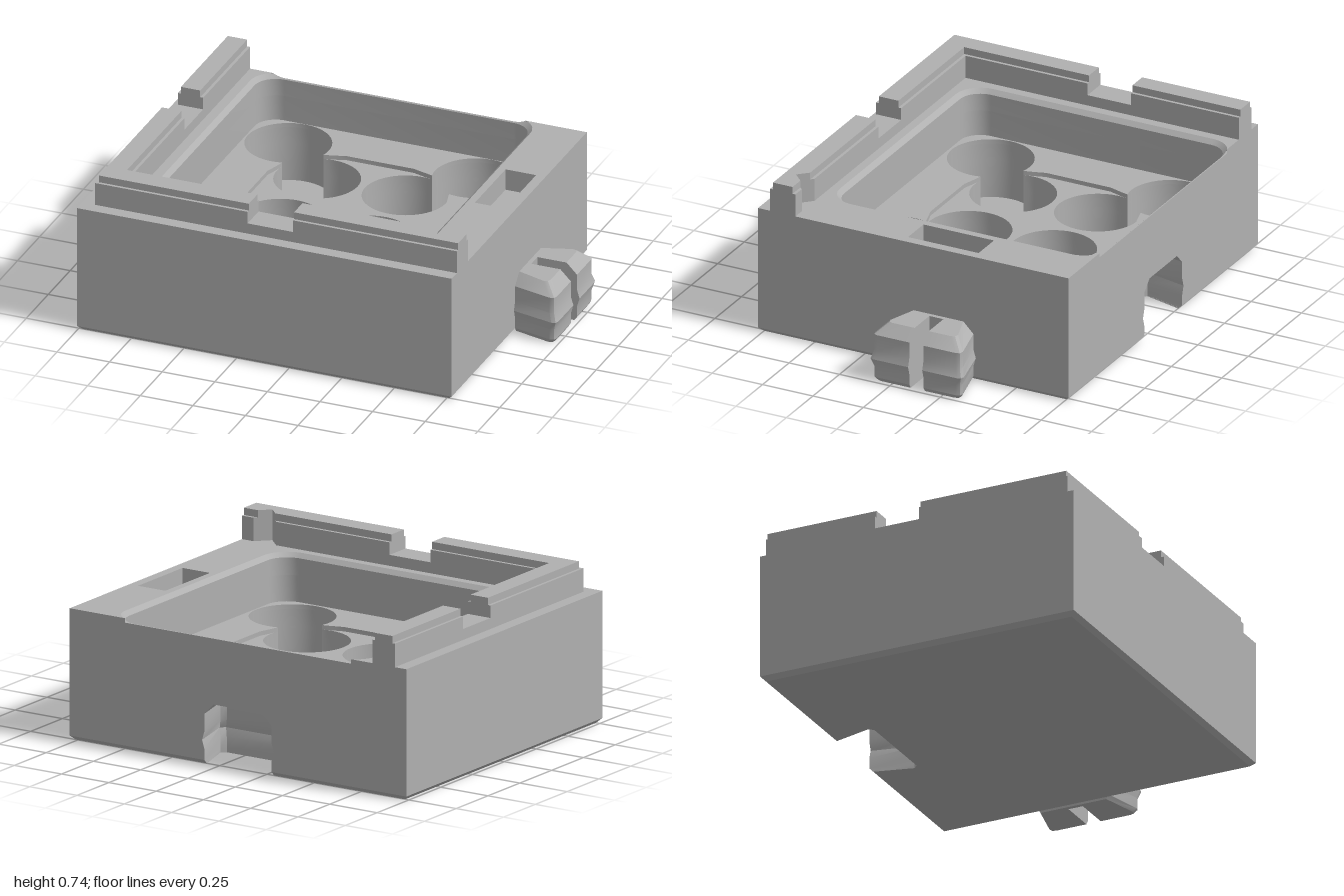
import * as THREE from 'three';
import { toCreasedNormals } from 'three/addons/utils/BufferGeometryUtils.js';

const CX = -0.11, CZ = -0.125; // centre of the tray cavity

// Loops are lists of [x, z], counter-clockwise seen from above.
const path = (C, loop) => new C(loop.map(([x, z]) => new THREE.Vector2(x, -z)));

// Horizontal slab between two heights, with optional holes.
function slab(loop, holes, y0, y1) {
  const shape = path(THREE.Shape, loop);
  shape.holes = holes.map(h => path(THREE.Path, h));
  const g = new THREE.ExtrudeGeometry(shape, { depth: y1 - y0, bevelEnabled: false });
  g.rotateX(-Math.PI / 2).translate(0, y0, 0);
  return toCreasedNormals(g, 0.5);
}

// Wall through rings of [x, y, z]; rising rings face outward, falling rings inward.
function wall(rings) {
  const pos = [];
  for (let k = 0; k + 1 < rings.length; k++) {
    const lo = rings[k], hi = rings[k + 1], n = lo.length;
    for (let i = 0; i < n; i++) {
      const j = (i + 1) % n;
      pos.push(...lo[i], ...lo[j], ...hi[j], ...lo[i], ...hi[j], ...hi[i]);
    }
  }
  const g = new THREE.BufferGeometry();
  g.setAttribute('position', new THREE.Float32BufferAttribute(pos, 3));
  return toCreasedNormals(g, 0.5);
}
const lift = (loop, y) => loop.map(([x, z]) => [x, y, z]);

const rect = (x0, x1, z0, z1) => [[x0, z1], [x1, z1], [x1, z0], [x0, z0]];

// Arc points, angles counter-clockwise seen from above.
function arc(x, z, r, a0, a1, n) {
  return Array.from({ length: n + 1 }, (_, i) => {
    const a = a0 + (a1 - a0) * i / n;
    return [x + r * Math.cos(a), z - r * Math.sin(a)];
  });
}

// Rounded square round the cavity centre, starting at the +x, back corner.
function roundedSquare(half, r) {
  const out = [];
  for (let q = 0; q < 4; q++) {
    const a = Math.PI / 4 + q * Math.PI / 2, d = (half - r) * Math.SQRT2;
    out.push(...arc(CX + d * Math.cos(a), -0.12 - d * Math.sin(a), r, a - Math.PI / 4, a + Math.PI / 4, 10));
  }
  return out;
}

export function createModel() {
  const model = new THREE.Group();
  const grey = new THREE.MeshStandardMaterial({ color: 0xb0b0b0 });
  const add = (name, geo) => {
    const m = new THREE.Mesh(geo, grey);
    m.name = name;
    model.add(m);
  };
  const block = rect(-1, 0.78, -0.77, 0.77);

  // Base with bevelled foot and a dovetail socket in the back
  const baseLoop = (c, s) => {
    const zb = -0.77 + c, h0 = 0.19 - s, h1 = 0.238 - s, zi = -0.54 - s;
    return [[-1 + c, 0.77 - c], [0.78 - c, 0.77 - c], [0.78 - c, zb],
      [CX + h0, zb], [CX + h1, zi - 0.02], [CX + h1 - 0.02, zi],
      [CX - h1 + 0.02, zi], [CX - h1, zi - 0.02], [CX - h0, zb], [-1 + c, zb]];
  };
  const baseLevels = [[0, 0.02, 0.012], [0.02, 0, 0.012], [0.07, 0, 0.012], [0.11, 0, 0],
    [0.15, 0, 0.012], [0.23, 0, 0.012], [0.28, 0, 0.062]];
  add('base', wall(baseLevels.map(([y, c, s]) => lift(baseLoop(c, s), y))));
  add('baseBottom', slab(baseLoop(0.02, 0.012), [], 0, 0.004));

  // Paired round wells and the shallow recess joining them
  const R = 0.193, A = 0.445, B = 0.21;
  const half = Math.acos((A - B) * Math.SQRT1_2 / R);
  const wells = [], recess = [];
  for (let q = 0; q < 4; q++) {
    const f = Math.PI / 4 + q * Math.PI / 2;
    const c = Math.cos(f) * Math.SQRT2, s = Math.sin(f) * Math.SQRT2;
    const outer = arc(CX + A * c, CZ - A * s, R, f - Math.PI + half, f + Math.PI - half, 40);
    const inner = arc(CX + B * c, CZ - B * s, R, f + half, f + 2 * Math.PI - half, 40);
    wells.push([...outer, ...inner.slice(1, -1)]);
    recess.push(...outer);
    // straight side towards the next corner
    const m = f + Math.PI / 4;
    for (const [along, out] of [[0.215, 0.408], [0.16, 0.425], [-0.16, 0.425], [-0.215, 0.408]]) {
      recess.push([CX + out * Math.cos(m) + along * Math.sin(m),
        CZ - out * Math.sin(m) + along * Math.cos(m)]);
    }
  }
  wells.forEach(w => {
    add('wellWall', wall([lift(w, 0.28), lift(w, 0.1)]));
    add('wellFloor', slab(w, [], 0.095, 0.1));
  });
  add('wellDeck', slab(block, wells, 0.28, 0.36));
  add('recessDeck', slab(block, [recess], 0.36, 0.38));

  // Tray cavity, side pocket and bevelled rim that runs out through the back
  const cavity = roundedSquare(0.645, 0.1), rim = roundedSquare(0.665, 0.12);
  const pocket = rect(0.59, 0.735, -0.3, 0.05);
  add('trayWall', slab(block, [cavity], 0.38, 0.5));
  add('trayWallUpper', slab(block, [cavity, pocket], 0.5, 0.58));
  const rimTop = rim.map(([x, z], i) => {
    const [xi, zi] = cavity[i];
    const t = z < -0.77 ? (zi + 0.77) / (zi - z) : 1;
    return [xi + (x - xi) * t, 0.58 + 0.02 * t, zi + (z - zi) * t];
  });
  add('trayBevel', wall([rimTop, lift(cavity, 0.58)]));
  // the open rim edge, walked from the back left over the front to the back right
  const firstOut = rim.findIndex(p => p[1] < -0.77);
  const lastOut = rim.length - 1 - [...rim].reverse().findIndex(p => p[1] < -0.77);
  const edge = [...rim.slice(lastOut + 1), ...rim.slice(0, firstOut)].reverse();
  const xr = rimTop[firstOut][0], xl = rimTop[lastOut][0];
  add('topFace', slab([[-1, 0.77], [0.78, 0.77], [0.78, -0.77], [xr, -0.77],
    ...edge, [xl, -0.77], [-1, -0.77]], [pocket], 0.58, 0.6));

  // Stepped guide rail along the left and front edges, with two gaps
  const railPieces = i => {
    const xa = -0.94 + i, xb = -0.82 - i, za = 0.71 - i, zb = 0.585 + i;
    const vee = [[0.72 - i, zb], [0.66, 0.645], [0.6 + i, zb]];
    return {
      full: [[xa, za], [0.78, za], [0.78, zb], ...vee, [xb, zb], [xb, -0.77], [xa, -0.77]],
      parts: [
        rect(xa, xb, -0.77, -0.235),
        [[xa, za], [-0.215, za], [-0.215, zb], [xb, zb], [xb, -0.02], [xa, -0.02]],
        [[0, za], [0.78, za], [0.78, zb], ...vee, [0, zb]],
      ],
    };
  };
  add('railFoot', slab(railPieces(0).full, [], 0.6, 0.65));
  railPieces(0).parts.forEach(p => add('rail', slab(p, [], 0.65, 0.707)));
  railPieces(0.014).parts.forEach(p => add('railTop', slab(p, [], 0.707, 0.74)));

  // Split dovetail clip on the side
  const clipLoop = (i, side) => {
    const x1 = 1 - i, h0 = 0.185 - i, h1 = 0.232 - i;
    const loop = [[0.78, 0], [0.78, h0], [x1 - 0.025, h1 - 0.003], [x1 - 0.006, h1 - 0.008],
      [x1, h1 - 0.025], [x1, 0.035], [0.8, 0.035], [0.8, 0]]
      .map(([x, t]) => [x, CZ + side * t]);
    return side > 0 ? loop : loop.reverse();
  };
  const clipLevels = [[0, 0.025], [0.02, 0.012], [0.07, 0.012], [0.11, 0],
    [0.15, 0.012], [0.225, 0.012], [0.275, 0.062]];
  for (const side of [1, -1]) {
    add('clipHalf', wall(clipLevels.map(([y, i]) => lift(clipLoop(i, side), y))));
    add('clipTop', slab(clipLoop(0.062, side), [], 0.271, 0.275));
    add('clipBottom', slab(clipLoop(0.025, side), [], 0, 0.004));
  }
  return model;
}
